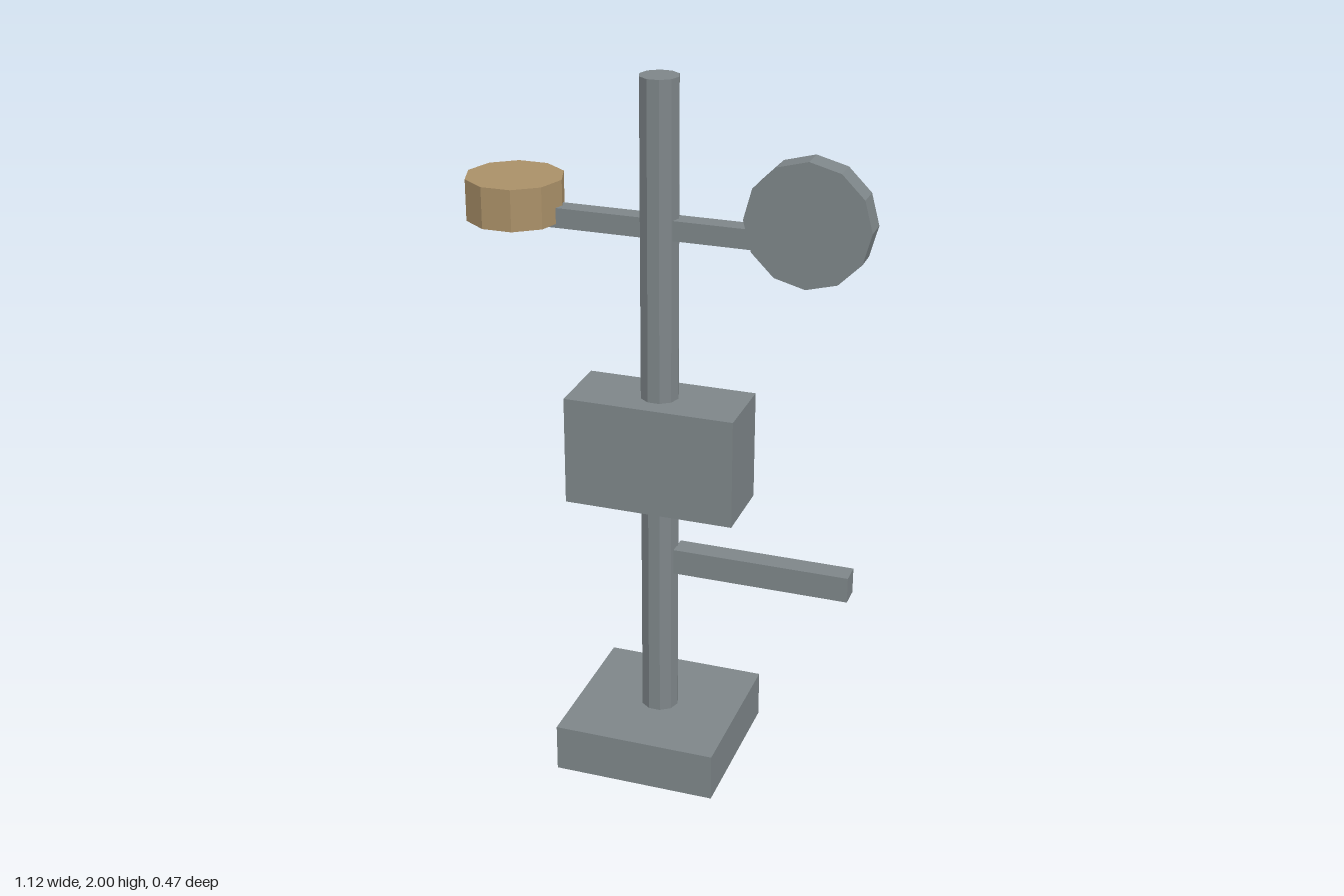
import * as THREE from 'three';

export function createModel() {
  const model = new THREE.Group();
  model.name = 'equipmentPole';

  const grey = new THREE.MeshStandardMaterial({ name: 'grey metal', color: 0x7e8689, flatShading: true });
  const tan = new THREE.MeshStandardMaterial({ name: 'tan', color: 0xaa9068, flatShading: true });
  const axisX = -0.018; // the pole stands slightly off centre

  const add = (name, geometry, material, x, y, z = 0) => {
    const mesh = new THREE.Mesh(geometry, material);
    mesh.name = name;
    mesh.position.set(x, y, z);
    model.add(mesh);
    return mesh;
  };

  // Box given by its x and y limits and its depth
  const box = (name, x0, x1, y0, y1, depth) =>
    add(name, new THREE.BoxGeometry(x1 - x0, y1 - y0, depth), grey, (x0 + x1) / 2, (y0 + y1) / 2);

  // Low-poly cylinder with a corner pointing along x
  const prism = (radius, height, sides) =>
    new THREE.CylinderGeometry(radius, radius, height, sides).rotateY(Math.PI / 2);

  // Base, pole and control box
  box('base', axisX - 0.233, axisX + 0.233, 0, 0.138, 0.466);
  add('pole', prism(0.054, 1.9, 10), grey, axisX, 1.05);
  box('controlBox', axisX - 0.241, axisX + 0.241, 0.8, 1.112, 0.208);

  // Upper cross arm and lower side arm
  box('crossArm', axisX - 0.482, axisX + 0.482, 1.57, 1.625, 0.053);
  box('lowerArm', 0.033, 0.535, 0.587, 0.661, 0.062);

  // Flat drum on one end, upright disc on the other
  add('drum', prism(0.135, 0.115, 10), tan, -0.427, 1.638);
  add('disc', prism(0.17, 0.07, 12).rotateX(Math.PI / 2), grey, 0.39, 1.652);

  return model;
}
